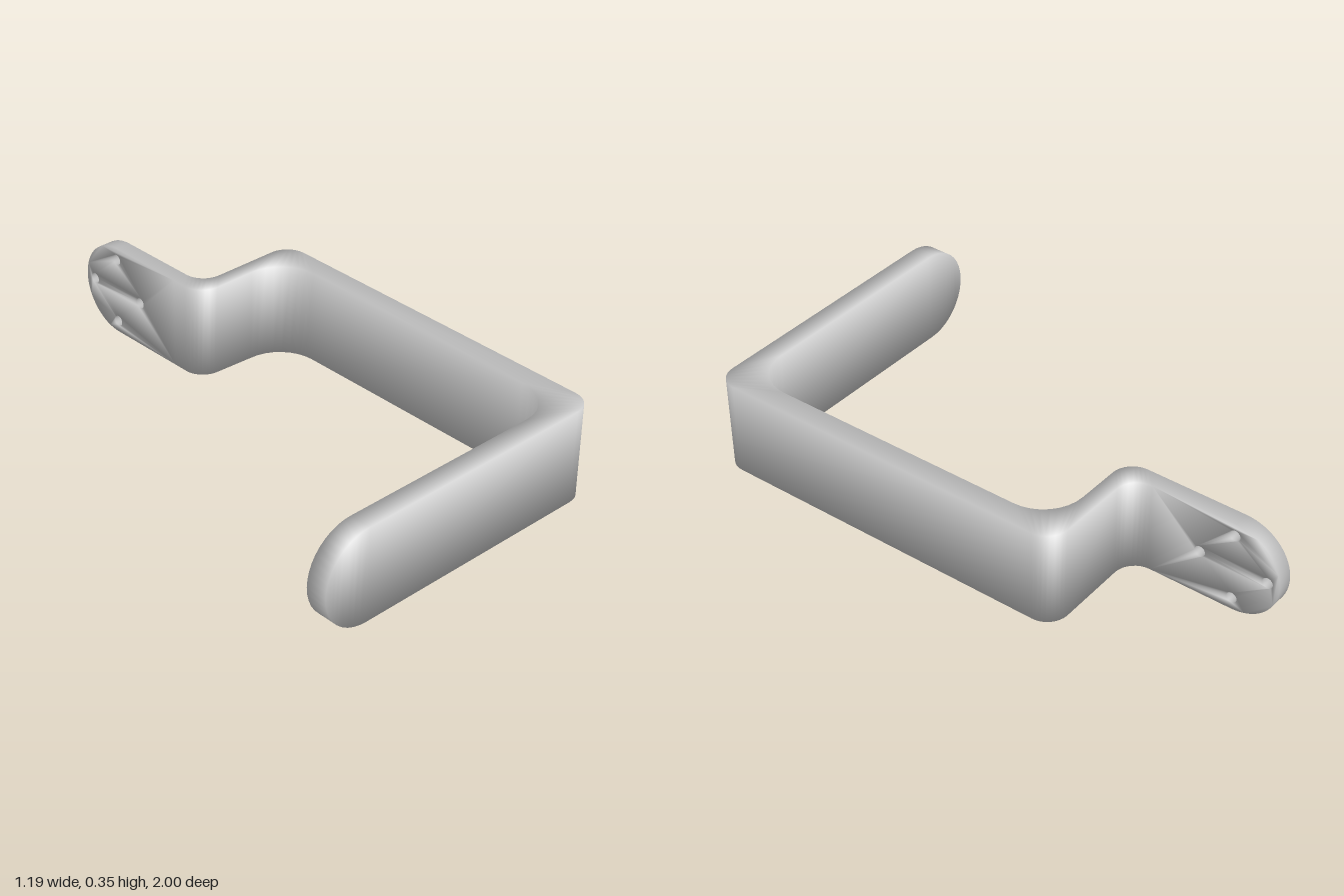
import * as THREE from 'three';
import { mergeGeometries, mergeVertices } from 'three/addons/utils/BufferGeometryUtils.js';

const RIGHT = [1, 0], BACK = [0, -1], LEFT = [-1, 0]; // travel directions in x, z
const JOINT = -0.51; // z where the strip meets the drilled tab
const TAB = { x: 0.12, thick: 0.06, y0: 0.01, y1: 0.355 };

// Point on a rounded corner at angle t, entering along a and leaving along b
function cornerPoint([cx, cz], r, a, b, t) {
  const u = r * (1 - Math.sin(t)), v = r * (1 - Math.cos(t));
  return [cx - a[0] * u + b[0] * v, cz - a[1] * u + b[1] * v];
}

// Strip swept through three bends as four-cornered cross-sections
function stripGeometry() {
  const rings = [];
  const ring = (a, b, y0, y1) => rings.push([
    [a[0], y0, a[1]], [a[0], y1, a[1]], [b[0], y1, b[1]], [b[0], y0, b[1]],
  ]);

  // Rounded free end of the front arm
  const r = 0.175;
  for (let i = 0; i <= 10; i++) {
    const t = (i / 10) * Math.PI / 2;
    const x = -0.597 + r * (1 - Math.cos(t)), h = r * Math.sin(t);
    ring([x, 1], [x, 0.92], r - h, r + h);
  }

  // Bends: outer and inner corner with their own radii
  const bends = [
    { a: [0.597, 1], ra: 0.08, b: [0.515, 0.92], rb: 0.155, from: RIGHT, to: BACK, y: [0, 0.35] },
    { a: [0.597, -0.43], ra: 0.08, b: [0.515, -0.37], rb: 0.155, from: BACK, to: LEFT, y: [0.003, 0.355] },
    { a: [0.18, -0.43], ra: 0.08, b: [0.12, -0.37], rb: 0.08, from: LEFT, to: BACK, y: [TAB.y0, TAB.y1] },
  ];
  for (const d of bends) {
    for (let i = 0; i <= 8; i++) {
      const t = (i / 8) * Math.PI / 2;
      ring(cornerPoint(d.a, d.ra, d.from, d.to, t), cornerPoint(d.b, d.rb, d.from, d.to, t), ...d.y);
    }
  }
  ring([TAB.x + TAB.thick, JOINT], [TAB.x, JOINT], TAB.y0, TAB.y1);

  const index = [];
  for (let i = 0; i < rings.length - 1; i++) {
    for (let k = 0; k < 4; k++) {
      const n = (k + 1) % 4;
      const a = i * 4 + k, b = a + 4, c = i * 4 + 4 + n, d = i * 4 + n;
      index.push(a, b, c, a, c, d);
    }
  }
  const geo = new THREE.BufferGeometry();
  geo.setAttribute('position', new THREE.Float32BufferAttribute(rings.flat(2), 3));
  geo.setIndex(index);
  return geo.toNonIndexed();
}

// Round-ended tab with four screw holes, left open where it joins the strip
function tabGeometry() {
  const r = (TAB.y1 - TAB.y0) / 2, cy = TAB.y0 + r;
  const shape = new THREE.Shape();
  shape.moveTo(-JOINT, TAB.y0);
  shape.lineTo(1 - r, TAB.y0);
  shape.absarc(1 - r, cy, r, -Math.PI / 2, Math.PI / 2, false);
  shape.lineTo(-JOINT, TAB.y1);
  shape.closePath();
  for (const [u, v] of [[0.7, cy], [0.827, cy + 0.127], [0.827, cy - 0.127], [0.955, cy]]) {
    shape.holes.push(new THREE.Path().absarc(u, v, 0.02, 0, Math.PI * 2, true));
  }
  let geo = new THREE.ExtrudeGeometry(shape, { depth: TAB.thick, bevelEnabled: false, curveSegments: 16 });
  geo.rotateY(Math.PI / 2).translate(TAB.x, 0, 0);
  if (geo.index) geo = geo.toNonIndexed();

  const p = geo.attributes.position, kept = [];
  for (let i = 0; i < p.count; i += 3) {
    if ([0, 1, 2].every(k => Math.abs(p.getZ(i + k) - JOINT) < 1e-4)) continue;
    for (let k = 0; k < 3; k++) kept.push(p.getX(i + k), p.getY(i + k), p.getZ(i + k));
  }
  const open = new THREE.BufferGeometry();
  open.setAttribute('position', new THREE.Float32BufferAttribute(kept, 3));
  return open;
}

// Smooth normals over all edges, each face weighted by its corner angle
function smoothNormals(geo) {
  const p = geo.attributes.position, idx = geo.index.array;
  const sums = Array.from({ length: p.count }, () => new THREE.Vector3());
  for (let i = 0; i < idx.length; i += 3) {
    const ids = [idx[i], idx[i + 1], idx[i + 2]];
    const v = ids.map(j => new THREE.Vector3().fromBufferAttribute(p, j));
    const n = v[1].clone().sub(v[0]).cross(v[2].clone().sub(v[0]));
    if (n.length() < 1e-9) continue;
    n.normalize();
    for (let k = 0; k < 3; k++) {
      const e1 = v[(k + 1) % 3].clone().sub(v[k]), e2 = v[(k + 2) % 3].clone().sub(v[k]);
      sums[ids[k]].addScaledVector(n, e1.angleTo(e2));
    }
  }
  const normals = sums.flatMap(s => s.normalize().toArray());
  geo.setAttribute('normal', new THREE.Float32BufferAttribute(normals, 3));
  return geo;
}

export function createModel() {
  const group = new THREE.Group();
  group.name = 'bentBracket';
  const geo = smoothNormals(mergeVertices(mergeGeometries([stripGeometry(), tabGeometry()]), 1e-4));
  const bracket = new THREE.Mesh(geo, new THREE.MeshStandardMaterial({ color: 0xcccccc }));
  bracket.name = 'bracketStrip';
  group.add(bracket);
  return group;
}
